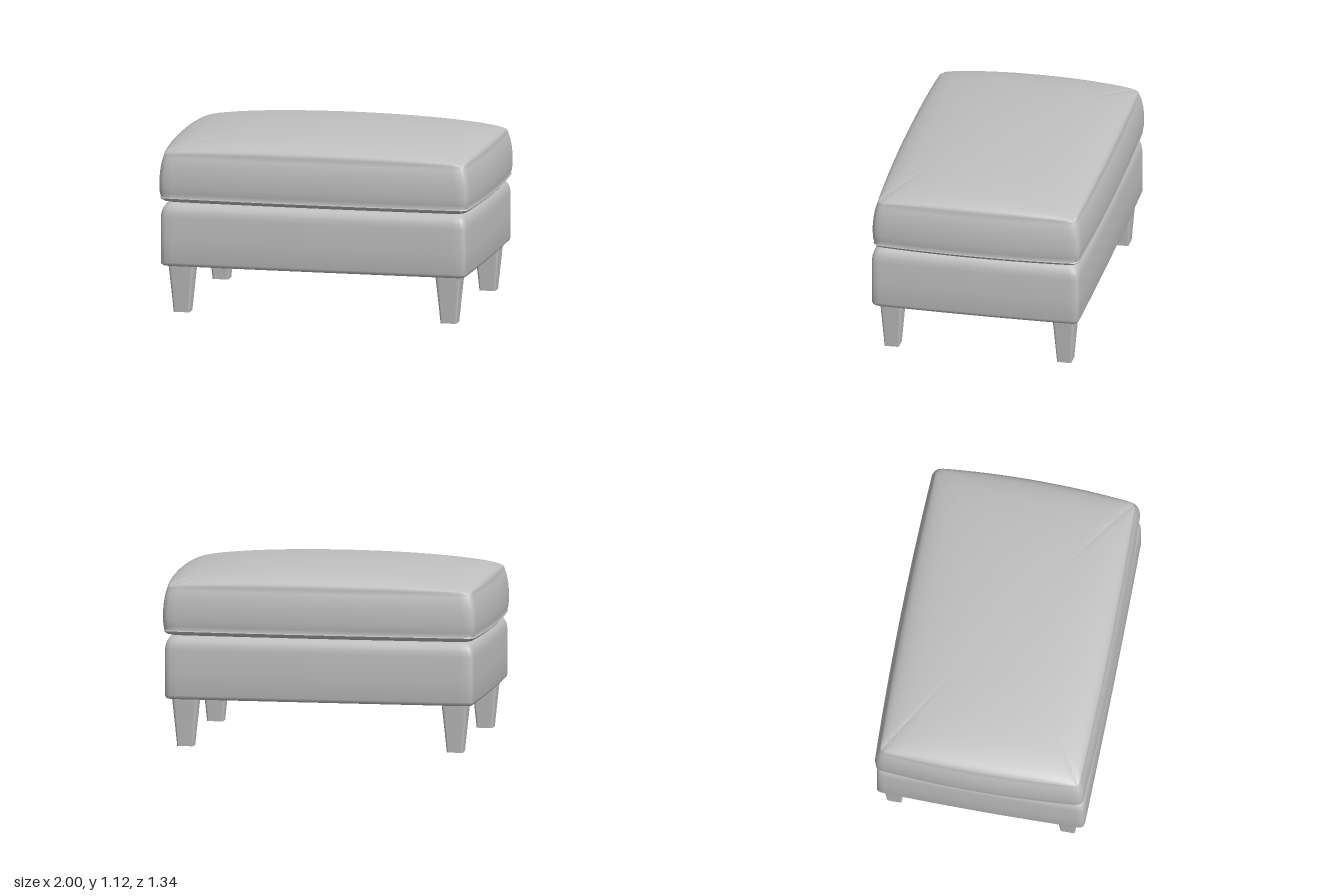
import * as THREE from 'three';
import { toCreasedNormals } from 'three/addons/utils/BufferGeometryUtils.js';

const SIDE = 24; // points along each side of a cross-section

// Rounded rectangle; a, b keep the position on the unit square, bulge swells the middle of each side
function outline(hx, hz, r, bulge) {
  const pts = [];
  const corners = [[1, -1], [1, 1], [-1, 1], [-1, -1]];
  corners.forEach(([a0, b0], k) => {
    const [a1, b1] = corners[(k + 1) % 4];
    for (let i = 0; i < SIDE; i++) {
      const t = 0.5 - 0.5 * Math.cos(Math.PI * i / SIDE);
      const a = a0 + (a1 - a0) * t, b = b0 + (b1 - b0) * t;
      let x = a * hx, z = b * hz;
      const cx = THREE.MathUtils.clamp(x, r - hx, hx - r);
      const cz = THREE.MathUtils.clamp(z, r - hz, hz - r);
      const d = Math.hypot(x - cx, z - cz);
      if (d > r) {
        x = cx + (x - cx) * r / d;
        z = cz + (z - cz) * r / d;
      }
      pts.push({ a, b, x: x * (1 + bulge * (1 - b * b)), z: z * (1 + bulge * (1 - a * a)) });
    }
  });
  return pts;
}

// Skin a stack of cross-sections, listed from the bottom centre to the top centre
function loft(rings, crease = 0.7) {
  const pos = [], index = [], n = SIDE * 4;
  for (const { hx, hz, r, bulge = 0, s = 1, y } of rings) {
    for (const p of outline(hx, hz, r, bulge)) {
      pos.push(p.x * s, typeof y === 'function' ? y(p.a * s, p.b * s) : y, p.z * s);
    }
  }
  for (let k = 0; k < rings.length - 1; k++) {
    for (let i = 0; i < n; i++) {
      const p = k * n + i, q = k * n + (i + 1) % n;
      index.push(p, p + n, q, q, p + n, q + n);
    }
  }
  const g = new THREE.BufferGeometry();
  g.setAttribute('position', new THREE.Float32BufferAttribute(pos, 3));
  g.setIndex(index);
  return toCreasedNormals(g, crease);
}

// Cushion: flat-ish underside, puffed side band with a seam ridge, domed top panel
function cushionGeometry() {
  const ring = (inset, y, s = 1) => ({ hx: 0.97 - inset, hz: 0.65 - inset, r: 0.035, bulge: 0.032, s, y });
  const rings = [];
  const under = (a, b) => 0.69 - 0.015 * (1 - a * a) * (1 - b * b);
  for (const s of [0, 0.3, 0.6, 0.85]) rings.push(ring(0.05, under, s));
  const band = [[0.05, 0.69], [0.025, 0.698], [0.012, 0.708], [0.004, 0.718], [0.008, 0.726], [0.002, 0.75],
    [0, 0.79], [0, 0.84], [0.004, 0.89], [0.012, 0.94], [0.02, 0.97]];
  band.forEach(([inset, y]) => rings.push(ring(inset, y)));
  const dome = (a, b) => 0.985 + 0.135 * Math.pow(Math.max(0, (1 - a * a) * (1 - b * b)), 0.34);
  const N = 28;
  for (let i = 0; i <= N; i++) {
    const t = 1 - i / N;
    rings.push(ring(0.025, dome, 1 - Math.pow(1 - t, 2.2)));
  }
  return loft(rings, 0.9);
}

// Upholstered base: softly rounded box
function baseGeometry() {
  const ring = (inset, y, s = 1) => ({ hx: 0.96 - inset, hz: 0.65 - inset, r: 0.03, bulge: 0.01, s, y });
  const rings = [ring(0.022, 0.295, 0)];
  const profile = [[0.025, 0.295], [0.012, 0.298], [0.004, 0.306], [0, 0.32], [0, 0.45], [0, 0.6],
    [0.004, 0.63], [0.012, 0.655], [0.026, 0.675], [0.045, 0.687], [0.065, 0.69]];
  profile.forEach(([inset, y]) => rings.push(ring(inset, y)));
  rings.push(ring(0.065, 0.69, 0));
  return loft(rings);
}

// Tapered leg with eased corners
function legGeometry() {
  const foot = { hx: 0.05, hz: 0.045, r: 0.008, y: 0 };
  const top = { hx: 0.08, hz: 0.069, r: 0.018, y: 0.3 };
  return loft([{ ...foot, s: 0 }, foot, top, { ...top, s: 0 }]);
}

export function createModel() {
  const group = new THREE.Group();
  group.name = 'footstool';
  const fabric = new THREE.MeshStandardMaterial({ color: 0xc0c0c0 });
  fabric.name = 'light grey';

  const add = (name, geometry, x = 0, z = 0) => {
    const mesh = new THREE.Mesh(geometry, fabric);
    mesh.name = name;
    mesh.position.set(x, 0, z);
    group.add(mesh);
  };

  add('cushion', cushionGeometry());
  add('base', baseGeometry(), 0, 0.008);

  const leg = legGeometry();
  for (const [sx, side] of [[1, 'Left'], [-1, 'Right']]) {
    add('front' + side + 'Leg', leg, sx * 0.84, 0.543);
    add('back' + side + 'Leg', leg, sx * 0.84, -0.54);
  }
  return group;
}
